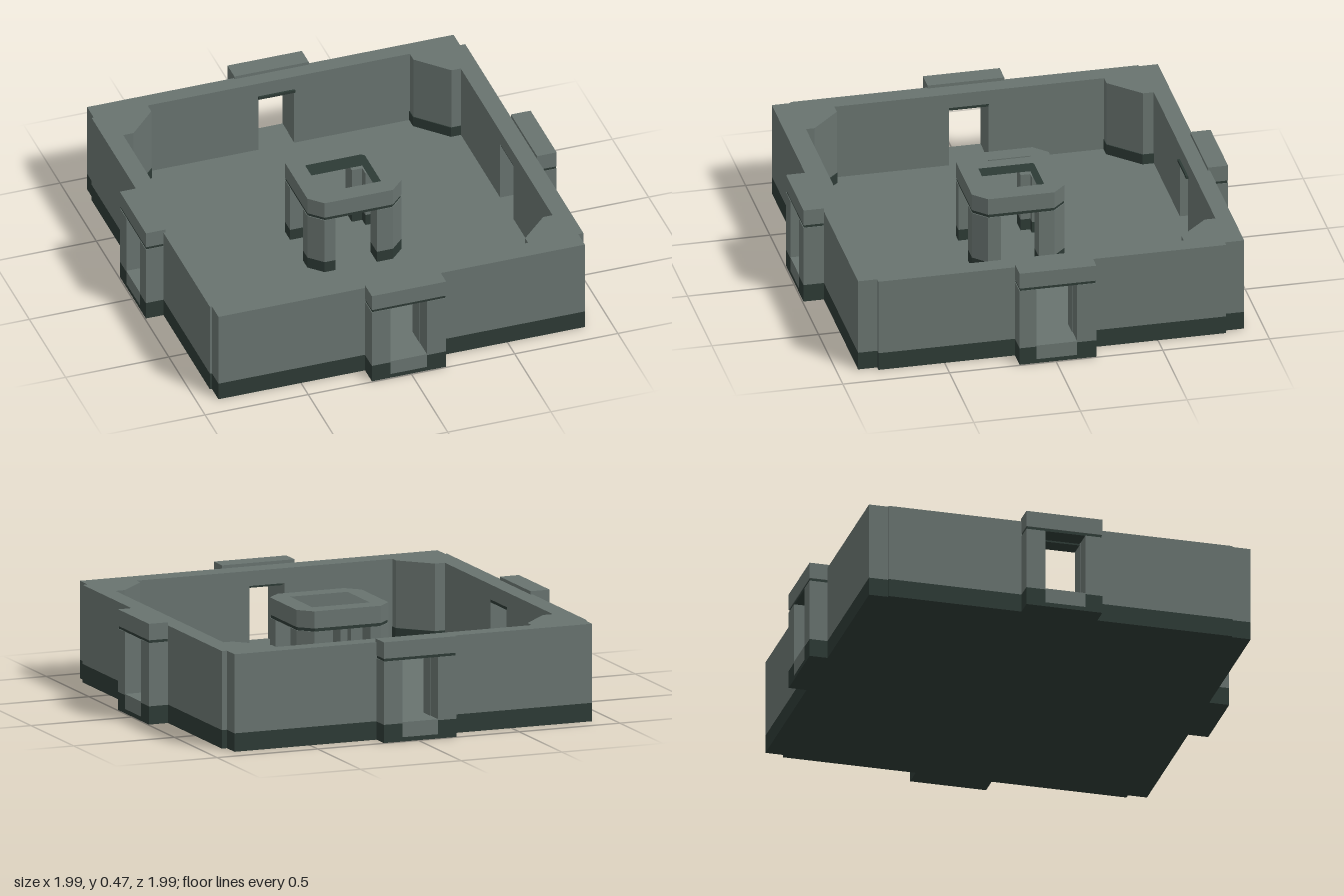
import * as THREE from 'three';

const stone = new THREE.MeshStandardMaterial({ color: 0x68736f });
stone.name = 'grey green stone';
const dark = new THREE.MeshStandardMaterial({ color: 0x2d3a35 });
dark.name = 'dark green stone';

const BASE = 0.09, LINTEL = 0.385, WALL_TOP = 0.455, TOP = 0.47;

// Plan outline of [x, z] points raised from y0 to y1
function prism(name, pts, y0, y1, mat, hole) {
  const toV = (p) => new THREE.Vector2(p[0], -p[1]);
  const shape = new THREE.Shape(pts.map(toV));
  if (hole) shape.holes.push(new THREE.Path(hole.map(toV)));
  const geo = new THREE.ExtrudeGeometry(shape, { depth: y1 - y0, bevelEnabled: false });
  geo.rotateX(-Math.PI / 2);
  geo.translate(0, y0, 0);
  const mesh = new THREE.Mesh(geo, mat);
  mesh.name = name;
  return mesh;
}

const rect = (x0, x1, z0, z1) => [[x0, z0], [x1, z0], [x1, z1], [x0, z1]];

// Rectangle with cut corners
const octagon = (x0, x1, z0, z1, c) => [
  [x0 + c, z0], [x1 - c, z0], [x1, z0 + c], [x1, z1 - c],
  [x1 - c, z1], [x0 + c, z1], [x0, z1 - c], [x0, z0 + c],
];

// Corner quadrants, in order around the plan
const quadrants = [[1, 1], [1, -1], [-1, -1], [-1, 1]].map(([sx, sz]) => {
  const ex = sx > 0 ? 0.9 : -0.91, ez = sz > 0 ? 0.9 : -0.91;
  const cx = sx > 0 ? 0.875 : -0.9, zs = sz > 0 ? 0.81 : -0.82;
  const ix = sx > 0 ? 0.815 : -0.82, iz = sz > 0 ? 0.8 : -0.83;
  const px = sx * 0.635, pz = sz > 0 ? 0.625 : -0.64;
  const qx = sx * 0.77, qz = sz > 0 ? 0.76 : -0.78;
  return {
    sx, sz, ex, ez, ix, iz,
    doorX: sx > 0 ? 0.075 : -0.097, doorZ: sz > 0 ? 0.088 : -0.097,
    outer: [[cx, ez], [cx, zs], [ex, zs]],
    inner: [[ix, pz], [qx, pz], [px, qz], [px, iz]],
    post: [[ix, pz], [qx, pz], [px, qz], [px, iz], [ix, iz]],
  };
});

// Join the quadrant lists into one closed loop
const loop = (key) => quadrants.flatMap((q) => {
  const forward = key === 'outer' ? q.sx === q.sz : q.sx !== q.sz;
  return forward ? q[key] : [...q[key]].reverse();
});

function createPorch(alongX, sign) {
  const porch = new THREE.Group();
  porch.name = 'porch';
  // a is measured along the wall, b outward through it
  const add = (name, a0, a1, b0, b1, y0, y1, mat) => {
    const lo = Math.min(sign * b0, sign * b1), hi = Math.max(sign * b0, sign * b1);
    porch.add(prism(name, alongX ? rect(a0, a1, lo, hi) : rect(lo, hi, a0, a1), y0, y1, mat));
  };
  const out = 0.995, wall = 0.9;
  const d0 = -0.1, d1 = alongX ? 0.077 : 0.09;
  add('porchFoundation', -0.19, 0.17, wall, out, 0, 0.02, dark);
  add('doorSill', d0, d1, 0.8, out, 0.02, BASE, stone);
  for (const [a0, a1] of [[-0.19, d0], [d1, 0.17]]) {
    add('porchPillarBase', a0, a1, wall, out, 0.02, 0.085, dark);
    add('porchPillar', a0, a1, wall, out, 0.085, 0.38, stone);
  }
  add('porchTrim', -0.187, 0.167, wall, out - 0.003, 0.38, 0.393, dark);
  add('porchLintel', -0.19, 0.17, wall, out, 0.393, TOP, stone);
  add('doorHead', d0, d1, 0.82, wall, 0.372, LINTEL, dark);
  return porch;
}

function createPavilion() {
  const pavilion = new THREE.Group();
  pavilion.name = 'pavilion';
  const X = [-0.205, 0.25], Z = [-0.225, 0.21], c = 0.062;
  const HX = [-0.125, 0.16], HZ = [-0.135, 0.125];
  const OX = [-0.09, 0.11], OZ = [-0.09, 0.087];
  const hole = rect(...HX, ...HZ);
  // Four L-shaped legs with cut outer corners
  for (const i of [0, 1]) for (const j of [0, 1]) {
    const sx = i ? 1 : -1, sz = j ? 1 : -1;
    const plan = [
      [OX[i], Z[j]], [OX[i], HZ[j]], [HX[i], HZ[j]], [HX[i], OZ[j]],
      [X[i], OZ[j]], [X[i], Z[j] - sz * c], [X[i] - sx * c, Z[j]],
    ];
    pavilion.add(prism('pavilionLegBase', plan, BASE, 0.145, dark));
    pavilion.add(prism('pavilionLeg', plan, 0.145, 0.375, stone));
  }
  const inset = 0.003;
  pavilion.add(prism('pavilionTrim',
    octagon(X[0] + inset, X[1] - inset, Z[0] + inset, Z[1] - inset, c), 0.375, 0.39, dark, hole));
  pavilion.add(prism('pavilionRoof', octagon(...X, ...Z, c), 0.39, TOP, stone, hole));
  return pavilion;
}

export function createModel() {
  const model = new THREE.Group();
  model.name = 'courtyard';

  // Plinth and floor
  const outline = loop('outer');
  const slots = [...quadrants[0].outer].length; // points per corner
  const notched = [];
  // Notch the plinth at each doorway so the sill fills it
  quadrants.forEach((q, k) => {
    const pts = outline.slice(k * slots, (k + 1) * slots);
    const front = [[q.doorX, q.ez], [q.doorX, q.iz]];
    const side = [[q.ex, q.doorZ], [q.ix, q.doorZ]];
    if (q.sx === q.sz) notched.push(front[1], front[0], ...pts, side[0], side[1]);
    else notched.push(side[1], side[0], ...pts, front[0], front[1]);
  });
  model.add(prism('foundation', outline, 0, 0.02, dark));
  model.add(prism('plinth', notched, 0.02, BASE - 0.004, dark));
  model.add(prism('floor', rect(-0.82, 0.815, -0.83, 0.8), BASE - 0.004, BASE, stone));

  // Wall corners between the doorways, each with an inner post
  for (const q of quadrants) {
    const plan = [
      [q.doorX, q.ez], ...q.outer, [q.ex, q.doorZ], [q.ix, q.doorZ], ...q.inner, [q.doorX, q.iz],
    ];
    model.add(prism('wallCorner', plan, BASE - 0.004, LINTEL, stone));
    // Dark foot around the post
    const foot = [
      [q.ix, q.post[0][1] - q.sz * 0.003],
      [q.post[1][0] - q.sx * 0.003, q.post[1][1] - q.sz * 0.003],
      [q.post[2][0] - q.sx * 0.003, q.post[2][1] - q.sz * 0.003],
      [q.post[3][0] - q.sx * 0.003, q.iz], [q.ix, q.iz],
    ];
    model.add(prism('postFoot', foot, BASE, 0.14, dark));
  }
  // Continuous top of the wall
  model.add(prism('wallTop', outline, LINTEL, WALL_TOP, stone, loop('inner')));

  for (const alongX of [true, false]) for (const sign of [1, -1]) model.add(createPorch(alongX, sign));
  model.add(createPavilion());
  return model;
}
